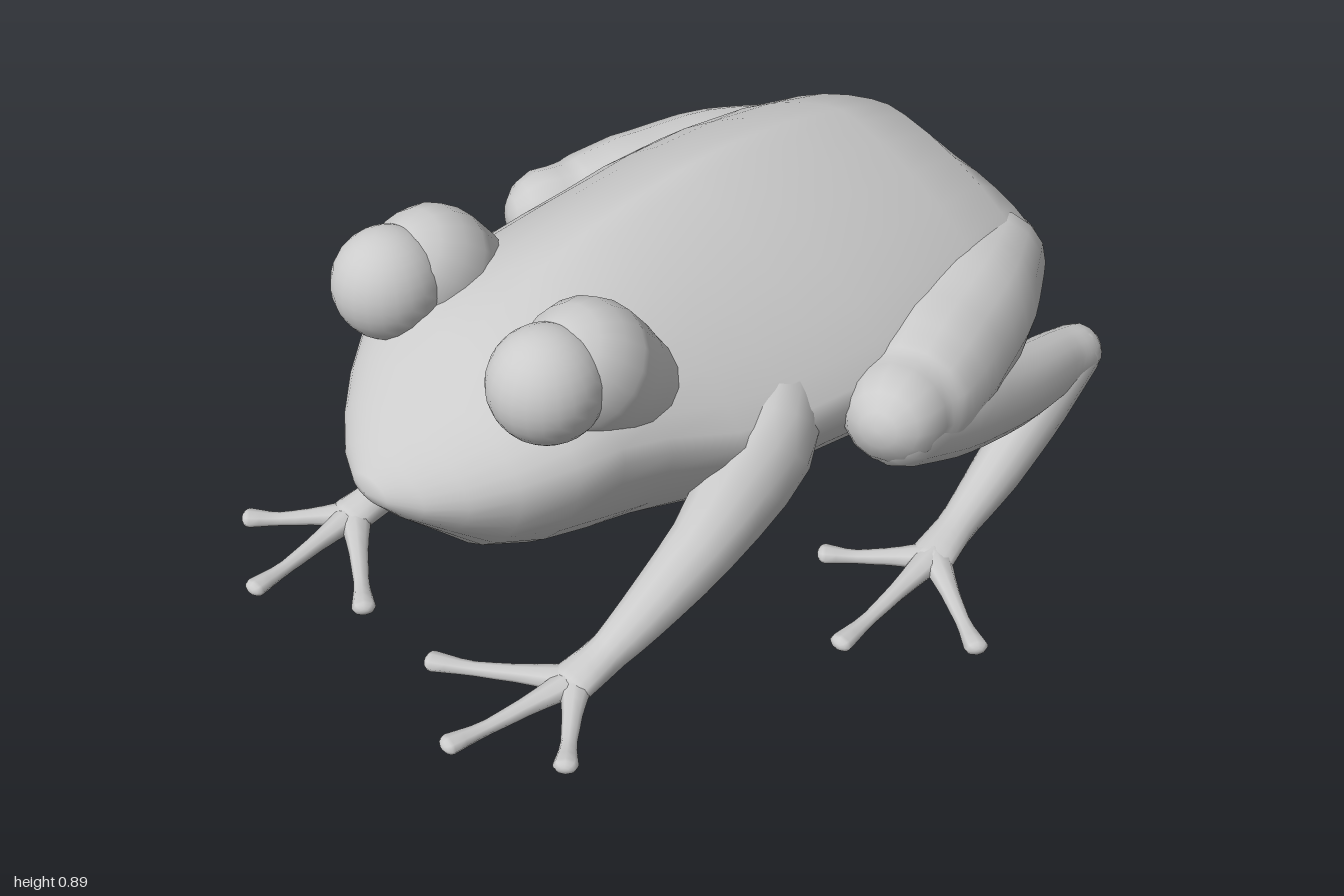
import * as THREE from 'three';

const V = (x, y, z) => new THREE.Vector3(x, y, z);
const mat = new THREE.MeshStandardMaterial({ color: 0xcccccc });

// Joins rings of points into a smooth closed skin; ends are capped at the given poles.
function skin(rings, startPole, endPole) {
  const n = rings[0].length, m = rings.length, pts = [...rings.flat(), startPole, endPole], idx = [];
  for (let i = 0; i < m; i++) {
    for (let k = 0; k < n; k++) {
      const a = i * n + k, b = i * n + (k + 1) % n;
      if (i < m - 1) idx.push(a, b, a + n, b, b + n, a + n);
      if (i === 0) idx.push(b, a, m * n);
      if (i === m - 1) idx.push(a, b, m * n + 1);
    }
  }
  const g = new THREE.BufferGeometry().setFromPoints(pts);
  g.setIndex(idx);
  g.computeVertexNormals();
  return g;
}

// Tapered limb with rounded ends: knots are [x, y, z, width radius, height radius].
function limb(knots, side, steps = 14, sides = 14) {
  const curve = new THREE.CatmullRomCurve3(knots.map(k => V(k[0] * side, k[1], k[2])));
  const stations = [];
  const at = t => {
    const f = t * (knots.length - 1), i = Math.min(Math.floor(f), knots.length - 2), u = f - i;
    const mix = j => THREE.MathUtils.lerp(knots[i][j], knots[i + 1][j], u);
    return { p: curve.getPoint(t), t: curve.getTangent(t), w: mix(3), h: mix(4) };
  };
  const cap = (s, dir, angle) => ({
    ...s, p: s.p.clone().addScaledVector(s.t, dir * Math.min(s.w, s.h) * Math.sin(angle)),
    w: s.w * Math.cos(angle), h: s.h * Math.cos(angle)
  });
  const first = at(0), last = at(1);
  for (const a of [1.2, 0.8, 0.4]) stations.push(cap(first, -1, a));
  for (let i = 0; i <= steps; i++) stations.push(at(i / steps));
  for (const a of [0.4, 0.8, 1.2]) stations.push(cap(last, 1, a));
  const rings = stations.map(s => {
    const across = V(0, 1, 0).cross(s.t).normalize(), up = s.t.clone().cross(across);
    return Array.from({ length: sides }, (_, k) => {
      const a = k / sides * Math.PI * 2;
      return s.p.clone().addScaledVector(across, s.w * Math.cos(a)).addScaledVector(up, s.h * Math.sin(a));
    });
  });
  return skin(rings, cap(first, -1, Math.PI / 2).p, cap(last, 1, Math.PI / 2).p);
}

// Body cross-sections, tail to snout:
// z, half width, top, widest height, bottom, roundness above (low is ridged), roundness below.
const bodySections = [
  [-0.93, 0.38, 0.58, 0.52, 0.44, 1.9, 2],
  [-0.88, 0.43, 0.68, 0.52, 0.36, 1.7, 2],
  [-0.78, 0.485, 0.79, 0.52, 0.31, 1.5, 1.8],
  [-0.60, 0.54, 0.845, 0.51, 0.20, 1.4, 1.7],
  [-0.40, 0.565, 0.885, 0.50, 0.125, 1.35, 1.65],
  [-0.20, 0.56, 0.90, 0.50, 0.11, 1.32, 1.65],
  [-0.06, 0.54, 0.895, 0.50, 0.12, 1.32, 1.65],
  [0.08, 0.525, 0.88, 0.50, 0.13, 1.35, 1.65],
  [0.22, 0.49, 0.86, 0.51, 0.14, 1.42, 1.65],
  [0.38, 0.435, 0.82, 0.55, 0.17, 1.6, 1.7],
  [0.50, 0.41, 0.775, 0.57, 0.19, 1.9, 1.75],
  [0.60, 0.375, 0.735, 0.55, 0.215, 2.1, 1.75],
  [0.70, 0.30, 0.665, 0.515, 0.26, 2.1, 1.8],
  [0.78, 0.22, 0.605, 0.49, 0.34, 2.1, 1.8],
  [0.84, 0.14, 0.55, 0.475, 0.395, 2, 1.8],
  [0.88, 0.06, 0.505, 0.47, 0.44, 2, 2]
];

function bodyGeometry(sides = 32) {
  const rings = bodySections.map(([z, w, top, mid, bottom, above, below]) =>
    Array.from({ length: sides }, (_, k) => {
      const a = k / sides * Math.PI * 2, c = Math.cos(a), s = Math.sin(a);
      const e = 2 / (s >= 0 ? above : below), h = s >= 0 ? top - mid : mid - bottom;
      return V(w * Math.sign(c) * Math.abs(c) ** e, mid + h * Math.sign(s) * Math.abs(s) ** e, z);
    }));
  return skin(rings, V(0, 0.52, -0.925), V(0, 0.472, 0.895));
}

// Toe from the palm to a slightly swollen tip.
const toe = ([x0, z0], [x1, z1], side) => limb([
  [0, 0.04, 0.042, 0.03],
  [0.35, 0.031, 0.024, 0.02],
  [0.7, 0.024, 0.018, 0.015],
  [0.94, 0.028, 0.029, 0.02]
].map(([t, y, w, h]) => [x0 + (x1 - x0) * t, y, z0 + (z1 - z0) * t, w, h]), side, 8, 8);

export function createModel() {
  const root = new THREE.Group();
  root.name = 'frog';
  const add = (parent, name, geometry) => {
    const mesh = new THREE.Mesh(geometry, mat);
    mesh.name = name;
    parent.add(mesh);
    return mesh;
  };

  add(root, 'body', bodyGeometry());

  for (const [side, label] of [[1, 'left'], [-1, 'right']]) {
    // Eye with a lid hump that sinks back into the head
    const eye = new THREE.Group();
    eye.name = label + 'Eye';
    root.add(eye);
    add(eye, 'eyeball', new THREE.SphereGeometry(0.132, 24, 16)).position.set(0.268 * side, 0.755, 0.592);
    add(eye, 'eyelid', limb([
      [0.262, 0.745, 0.475, 0.148, 0.15],
      [0.262, 0.68, 0.41, 0.145, 0.14],
      [0.25, 0.60, 0.33, 0.13, 0.12]
    ], side, 8, 18));

    // Front leg: shoulder to wrist, then three toes
    const front = new THREE.Group();
    front.name = label + 'FrontLeg';
    root.add(front);
    add(front, 'arm', limb([
      [0.37, 0.52, 0.02, 0.12, 0.12],
      [0.44, 0.44, 0.11, 0.125, 0.14],
      [0.455, 0.28, 0.28, 0.085, 0.09],
      [0.425, 0.14, 0.44, 0.065, 0.064],
      [0.405, 0.06, 0.56, 0.048, 0.046],
      [0.405, 0.04, 0.66, 0.058, 0.034]
    ], side));
    for (const tip of [[0.59, 0.85], [0.355, 1.0], [0.11, 0.85]])
      add(front, 'frontToe', toe([0.405, 0.65], tip, side));

    // Hind leg: folded thigh, shank back to the heel, foot forward again
    const hind = new THREE.Group();
    hind.name = label + 'HindLeg';
    root.add(hind);
    add(hind, 'thigh', limb([
      [0.37, 0.49, -0.78, 0.13, 0.14],
      [0.45, 0.48, -0.60, 0.16, 0.165],
      [0.52, 0.455, -0.38, 0.17, 0.17],
      [0.57, 0.45, -0.24, 0.155, 0.145],
      [0.595, 0.465, -0.17, 0.125, 0.12]
    ], side));
    add(hind, 'shank', limb([
      [0.61, 0.44, -0.17, 0.105, 0.10],
      [0.605, 0.38, -0.36, 0.105, 0.115],
      [0.58, 0.30, -0.62, 0.09, 0.10],
      [0.545, 0.25, -0.84, 0.075, 0.085],
      [0.54, 0.24, -0.925, 0.07, 0.073]
    ], side));
    add(hind, 'foot', limb([
      [0.54, 0.24, -0.925, 0.07, 0.073],
      [0.575, 0.165, -0.74, 0.07, 0.078],
      [0.61, 0.095, -0.55, 0.062, 0.066],
      [0.645, 0.05, -0.37, 0.046, 0.042],
      [0.675, 0.038, -0.24, 0.057, 0.03]
    ], side));
    for (const tip of [[0.96, -0.08], [0.725, 0.145], [0.47, -0.07]])
      add(hind, 'hindToe', toe([0.675, -0.25], tip, side));
  }
  return root;
}
